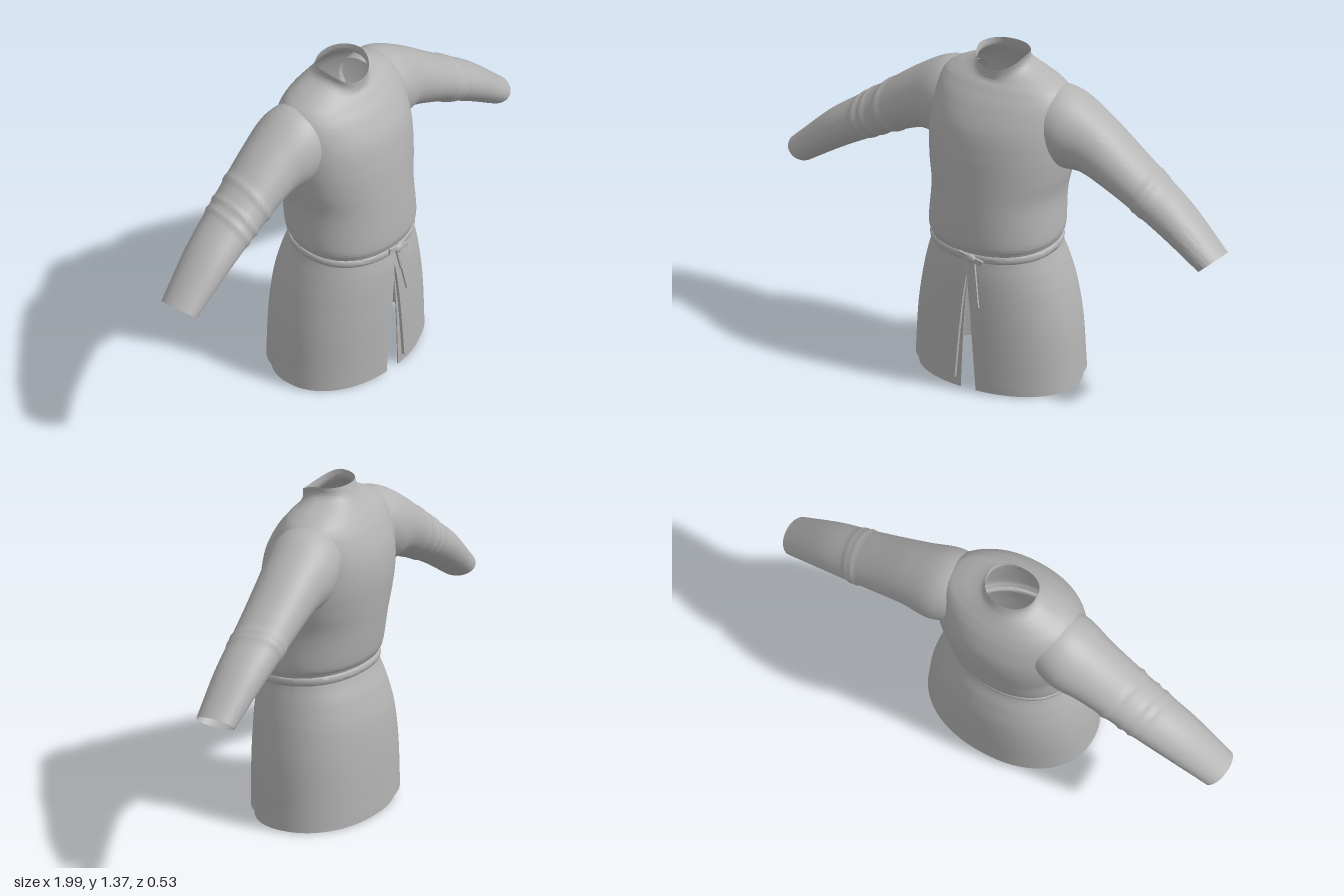
import * as THREE from 'three';
import { ParametricGeometry } from 'three/addons/geometries/ParametricGeometry.js';
import { mergeVertices, toCreasedNormals } from 'three/addons/utils/BufferGeometryUtils.js';

const cloth = new THREE.MeshStandardMaterial({ color: 0xb4b4b4, side: THREE.DoubleSide });
cloth.name = 'grey cloth';

const V = (x, y, z) => new THREE.Vector3(x, y, z);
const curve = (pts) => new THREE.CatmullRomCurve3(pts, false, 'catmullrom', 0.5);

// Welded smooth surface from a rule; sharp folds stay crisp
function surface(name, fn, cols, rows, crease = 0.9) {
  let geo = new ParametricGeometry(fn, cols, rows);
  geo.deleteAttribute('uv');
  geo.deleteAttribute('normal');
  geo = toCreasedNormals(mergeVertices(geo, 1e-5), crease);
  const mesh = new THREE.Mesh(geo, cloth);
  mesh.name = name;
  return mesh;
}

// Rows of [height, half width, front z, back z] -> smooth profile
function profile(rows) {
  const outline = curve(rows.map((r) => V(r[1], r[0], 0)));
  const depth = curve(rows.map((r) => V(r[2], r[3], 0)));
  return (t) => {
    const o = outline.getPoint(t), d = depth.getPoint(t);
    return { y: o.y, hw: o.x, zf: d.x, zb: d.y };
  };
}

// Point on a rounded horizontal section; angle 0 is the front centre
const P = 0.92;
function ringPoint(s, a, inset, out) {
  const sx = Math.sin(a), cz = Math.cos(a);
  const mid = (s.zf + s.zb) / 2, half = (s.zf - s.zb) / 2;
  const x = (s.hw - inset) * Math.sign(sx) * Math.abs(sx) ** P;
  const z = mid + (half - inset) * Math.sign(cz) * Math.abs(cz) ** P;
  // the waist tilts up towards the back
  const tilt = 0.09 * Math.exp(-(((s.y - 0.6) / 0.09) ** 2));
  return out.set(x, s.y - tilt * z, z);
}

const WAIST = [0.6, 0.258, 0.232, -0.19];

function torso() {
  const at = profile([
    WAIST, [0.625, 0.266, 0.243, -0.197], [0.66, 0.275, 0.249, -0.212], [0.8, 0.27, 0.24, -0.235],
    [0.9, 0.288, 0.231, -0.25], [1.0, 0.3, 0.219, -0.26], [1.1, 0.3, 0.196, -0.254],
    [1.19, 0.292, 0.148, -0.225], [1.245, 0.265, 0.105, -0.195], [1.28, 0.21, 0.085, -0.17],
    [1.305, 0.155, 0.077, -0.152], [1.325, 0.118, 0.075, -0.139],
    [1.345, 0.104, 0.074, -0.13], [1.372, 0.107, 0.074, -0.12],
  ]);
  return surface('torso', (u, v, out) => {
    const s = at(v), a = u * Math.PI * 2;
    ringPoint(s, a, 0, out);
    // collar dips at the front
    out.y -= 0.052 * THREE.MathUtils.smoothstep(s.y, 1.24, 1.36) * Math.max(0, Math.cos(a)) ** 1.5;
  }, 80, 91);
}

// Skirt layer, open along a tapering front slit, with turned-in edges
function skirtLayer(name, rows, inset, slitWidth, slitTop, fold) {
  const at = profile(rows), COLS = 100, ROWS = 44;
  return surface(name, (u, v, out) => {
    const i = Math.round(v * ROWS), j = Math.round(u * COLS);
    const s = at(Math.max(0, i - 2) / (ROWS - 2));
    if (i === 0) s.y += 0.02;
    const gap = slitWidth * Math.max(0, 1 - s.y / slitTop) ** 0.9;
    const a0 = Math.asin((gap / s.hw) ** (1 / P));
    const k = THREE.MathUtils.clamp((j - 1) / (COLS - 2), 0, 1);
    const turned = i < 2 || j === 0 || j === COLS;
    ringPoint(s, a0 + k * (Math.PI * 2 - 2 * a0), inset + (turned ? fold : 0), out);
  }, COLS, ROWS, 0.7);
}

// Sleeve from upper edge, lower edge and front/back depth
function sleeve(side) {
  const top = curve([V(0.16, 1.26, 0), V(0.29, 1.25, 0), V(0.43, 1.17, 0), V(0.585, 1.055, 0),
    V(0.7, 0.97, 0), V(0.83, 0.875, 0), V(0.995, 0.72, 0)]);
  const bottom = curve([V(0.2, 0.98, 0), V(0.28, 0.93, 0), V(0.375, 0.925, 0), V(0.5, 0.875, 0),
    V(0.62, 0.815, 0), V(0.755, 0.74, 0), V(0.907, 0.645, 0)]);
  const depth = curve([V(0.08, -0.19, 0), V(0.09, -0.212, 0), V(0.065, -0.2, 0), V(0.052, -0.188, 0),
    V(0.045, -0.178, 0), V(0.04, -0.163, 0), V(0.028, -0.138, 0)]);
  const folds = side > 0 ? [0.64, 0.675] : [0.48, 0.58, 0.64];
  return surface(side > 0 ? 'leftSleeve' : 'rightSleeve', (u, v, out) => {
    const a = u * Math.PI * 2 * side;
    const t = top.getPoint(v), b = bottom.getPoint(v), d = depth.getPoint(v);
    const mid = t.clone().add(b).multiplyScalar(0.5);
    // soft slanted creases around the elbow
    let r = 1;
    for (const f of folds) r += 0.045 * Math.exp(-(((v - f - 0.02 * Math.sin(a)) / 0.014) ** 2));
    const c = Math.cos(a) * r;
    out.set(
      side * (mid.x + (t.x - mid.x) * c),
      mid.y + (t.y - mid.y) * c,
      (d.x + d.y) / 2 + ((d.x - d.y) / 2) * Math.sin(a) * r,
    );
  }, 48, 90, 1.2);
}

// Rounded cord around the tilted waist
function belt() {
  const s = { y: 0.6, hw: 0.261, zf: 0.235, zb: -0.193 };
  return surface('belt', (u, v, out) => {
    const b = v * Math.PI * 2;
    ringPoint(s, u * Math.PI * 2, -0.009 * Math.cos(b), out);
    out.y += 0.018 * Math.sin(b);
  }, 80, 12, 1.2);
}

// Flat strap between two points
function strap(name, from, to, width) {
  const mesh = new THREE.Mesh(new THREE.BoxGeometry(width, from.distanceTo(to), 0.009), cloth);
  mesh.position.copy(from).lerp(to, 0.5);
  mesh.quaternion.setFromUnitVectors(V(0, -1, 0), to.clone().sub(from).normalize());
  mesh.name = name;
  return mesh;
}

function beltTie() {
  const tie = new THREE.Group();
  tie.name = 'beltTie';
  const knot = new THREE.Mesh(new THREE.SphereGeometry(1, 16, 12), cloth);
  knot.name = 'knot';
  knot.scale.set(0.024, 0.019, 0.012);
  knot.position.set(0.02, 0.577, 0.246);
  tie.add(
    knot,
    strap('knotBand', V(-0.035, 0.588, 0.246), V(0.075, 0.564, 0.244), 0.022),
    strap('longTail', V(0.025, 0.57, 0.243), V(0.058, 0.38, 0.264), 0.024),
    strap('shortTail', V(0.018, 0.57, 0.242), V(0.035, 0.48, 0.252), 0.02),
  );
  return tie;
}

export function createModel() {
  const model = new THREE.Group();
  model.name = 'beltedTunic';
  const upper = [[0.25, 0.337, 0.252, -0.263], [0.4, 0.312, 0.25, -0.252],
    [0.5, 0.287, 0.245, -0.228], [0.56, 0.269, 0.238, -0.203], WAIST];
  model.add(
    torso(),
    skirtLayer('skirt', [[0.043, 0.352, 0.25, -0.265], ...upper], 0, 0.058, 0.51, 0.012),
    skirtLayer('underskirt', [[0.003, 0.354, 0.247, -0.255], ...upper], 0.014, 0.036, 0.51, 0.004),
    sleeve(1),
    sleeve(-1),
    belt(),
    beltTie(),
  );
  return model;
}
